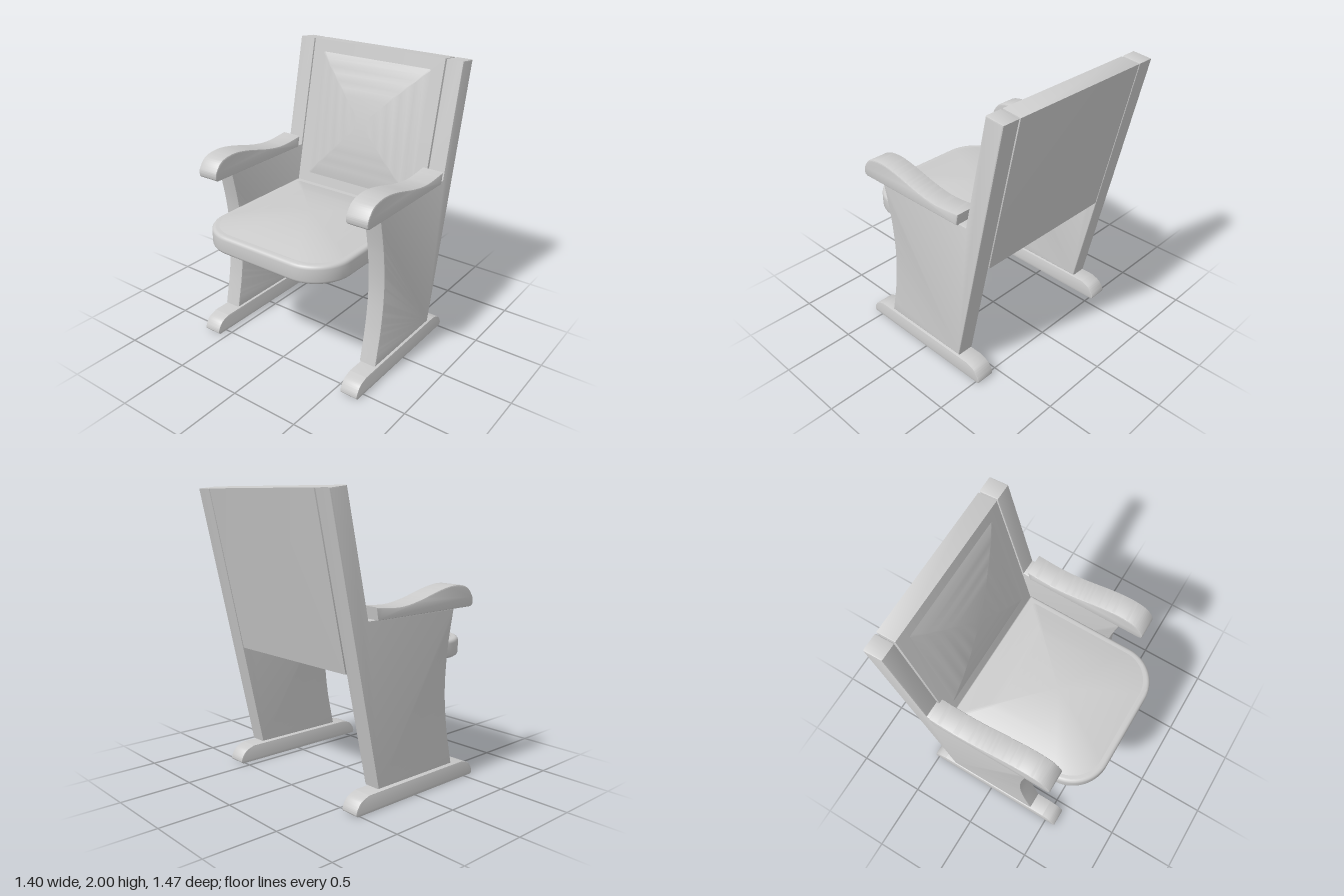
import * as THREE from 'three';
import { toCreasedNormals } from 'three/addons/utils/BufferGeometryUtils.js';

const material = new THREE.MeshStandardMaterial({ color: 0xcccccc });
const TILT = 0.216; // backward lean of the back, z per unit of y
const v = (list) => list.map(([x, y]) => new THREE.Vector2(x, y));

function part(name, geometry, parent) {
  const mesh = new THREE.Mesh(geometry, material);
  mesh.name = name;
  parent.add(mesh);
  return mesh;
}

// Extrudes a shape by depth, with small rounded edges kept inside the outline
function slab(shape, depth, bevel, segments = 2) {
  const geo = new THREE.ExtrudeGeometry(shape, {
    depth: depth - 2 * bevel, bevelEnabled: true, bevelSize: bevel, bevelThickness: bevel,
    bevelOffset: -bevel, bevelSegments: segments, curveSegments: 12,
  });
  geo.translate(0, 0, bevel - depth / 2);
  return toCreasedNormals(geo, 0.6);
}

// Side profile in (z, y), spread across x and centred on x = cx
function sideSlab(shape, width, cx, bevel) {
  return slab(shape, width, bevel).rotateY(-Math.PI / 2).translate(cx, 0, 0);
}

// Rectangle centred on the origin with corner radii for its lower and upper ends
function roundedRect(hw, hh, rLow, rTop) {
  const s = new THREE.Shape();
  s.moveTo(-hw + rLow, -hh);
  s.lineTo(hw - rLow, -hh);
  s.absarc(hw - rLow, -hh + rLow, rLow, -Math.PI / 2, 0);
  s.lineTo(hw, hh - rTop);
  s.absarc(hw - rTop, hh - rTop, rTop, 0, Math.PI / 2);
  s.lineTo(-hw + rTop, hh);
  s.absarc(-hw + rTop, hh - rTop, rTop, Math.PI / 2, Math.PI);
  s.lineTo(-hw, -hh + rLow);
  s.absarc(-hw + rLow, -hh + rLow, rLow, Math.PI, Math.PI * 1.5);
  return s;
}

// Domed padding: shrinking copies of an outline that rise toward the middle (+z)
function dome(shape, height, rings = 10) {
  const outline = shape.getPoints(8);
  const n = outline.length;
  const pos = [], index = [];
  for (let r = 0; r <= rings; r++) {
    const s = 1 - r / rings;
    for (const p of outline) pos.push(p.x * s, p.y * s, height * (1 - s * s));
  }
  for (let r = 0; r < rings; r++) {
    for (let i = 0; i < n; i++) {
      const j = (i + 1) % n, a = r * n, b = a + n;
      index.push(a + i, a + j, b + j);
      if (r < rings - 1) index.push(a + i, b + j, b + i);
    }
  }
  const geo = new THREE.BufferGeometry();
  geo.setAttribute('position', new THREE.Float32BufferAttribute(pos, 3));
  geo.setIndex(index);
  return toCreasedNormals(geo, 0.4);
}

export function createModel() {
  const chair = new THREE.Group();
  chair.name = 'theaterChair';

  // Side panel with a hollow front edge, running up into the back post
  const panel = new THREE.Shape();
  panel.moveTo(-0.335, 0.13);
  panel.lineTo(0.36, 0.13);
  panel.splineThru(v([[0.305, 0.4], [0.28, 0.67], [0.3, 0.95], [0.35, 1.21]]));
  panel.lineTo(-0.429, 1.21);
  panel.lineTo(-0.6, 2);
  panel.lineTo(-0.735, 1.985);

  // Armrest with a swelling front
  const arm = new THREE.Shape();
  arm.moveTo(-0.37, 1.207);
  arm.lineTo(0.5, 1.207);
  arm.splineThru(v([[0.52, 1.225], [0.515, 1.275], [0.455, 1.342], [0.34, 1.365], [0.2, 1.348],
    [0, 1.298], [-0.14, 1.275], [-0.25, 1.275], [-0.385, 1.29]]));

  // Floor runner with rounded ends
  const foot = new THREE.Shape();
  foot.moveTo(-0.515, 0);
  foot.lineTo(0.565, 0);
  foot.splineThru(v([[0.58, 0.015], [0.57, 0.05], [0.535, 0.092], [0.47, 0.117]]));
  foot.lineTo(-0.42, 0.117);
  foot.splineThru(v([[-0.485, 0.092], [-0.52, 0.05], [-0.53, 0.015], [-0.515, 0]]));

  for (const [side, sign] of [['left', 1], ['right', -1]]) {
    const group = new THREE.Group();
    group.name = side + 'Side';
    part(side + 'Panel', sideSlab(panel, 0.127, sign * 0.616, 0.01), group);
    part(side + 'Armrest', sideSlab(arm, 0.162, sign * 0.618, 0.01), group);
    part(side + 'Foot', sideSlab(foot, 0.132, sign * 0.619, 0.004), group);
    chair.add(group);
  }

  // Backrest board between the posts
  const board = new THREE.Shape(v([
    [-0.495, 0.87], [-0.6 + TILT * 1.13, 0.87], [-0.6, 2], [-0.735, 1.985],
  ]));
  part('backrest', sideSlab(board, 1.092, 0, 0.006), chair);

  // Backrest padding lying on the leaning front face
  const backPad = part('backrestPadding', dome(roundedRect(0.45, 0.46, 0.01, 0.01), 0.065), chair);
  backPad.rotation.x = -Math.atan(TILT);
  backPad.position.set(0, 1.465, -0.6 + TILT * 0.535);

  // Seat with wide rounded front corners (the lower end of its outline faces front)
  const seat = part('seat', slab(roundedRect(0.545, 0.55, 0.27, 0.012), 0.13, 0.025, 4), chair);
  seat.rotation.x = -Math.PI / 2;
  seat.position.set(0, 0.89, 0.185);

  const seatPad = part('seatPadding', dome(roundedRect(0.505, 0.505, 0.23, 0.02), 0.067), chair);
  seatPad.rotation.x = -Math.PI / 2;
  seatPad.position.set(0, 0.954, 0.185);

  // Hinge rod under the seat
  const rod = part('hingeRod', new THREE.CylinderGeometry(0.027, 0.027, 1.12, 20), chair);
  rod.rotation.z = Math.PI / 2;
  rod.position.set(0, 0.795, 0.02);

  return chair;
}
